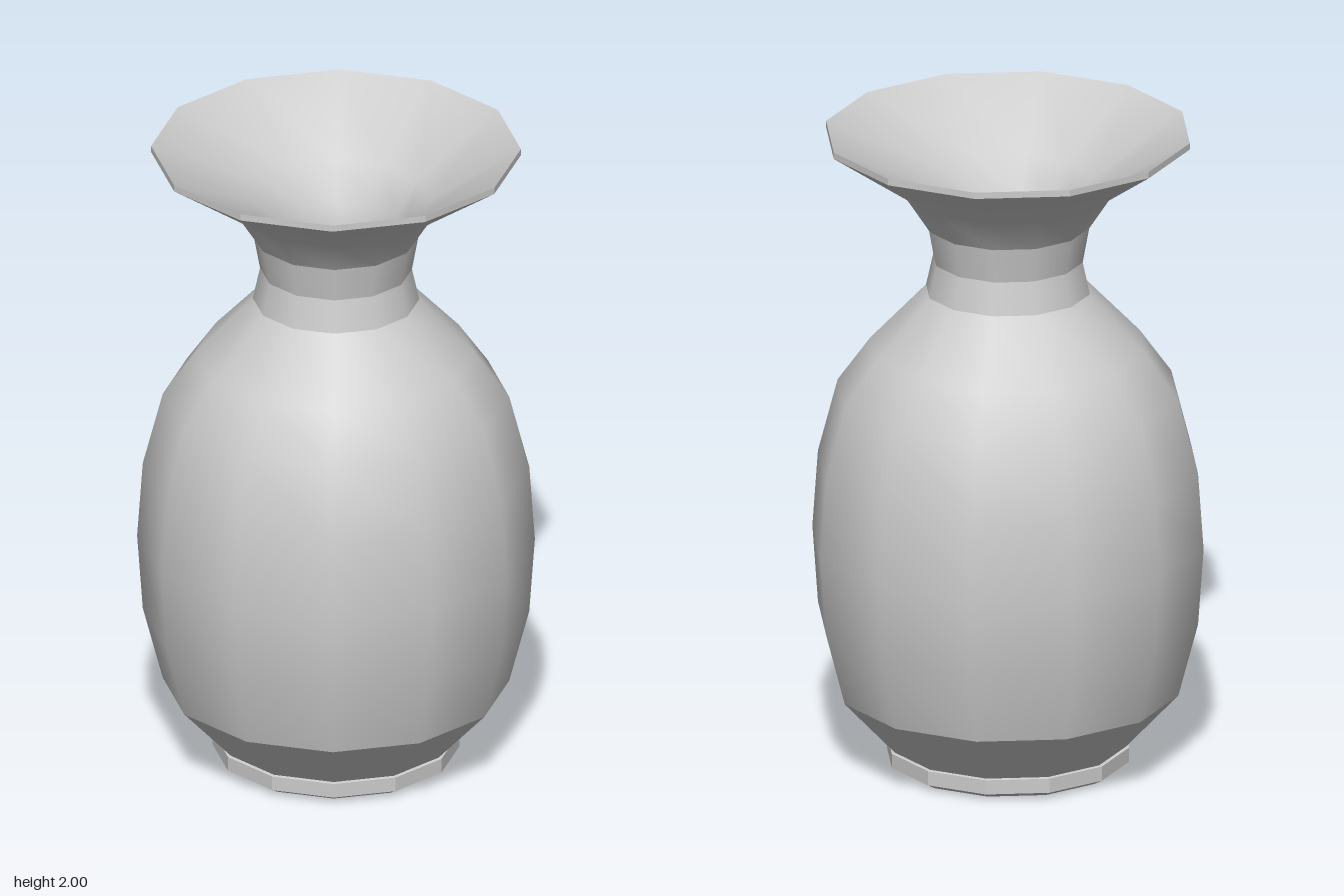
import * as THREE from 'three';

const SIDES = 12;

// Twelve-sided ring turned from [radius, height] points.
// Points running upward face outward; points running downward face inward.
function turned(name, points, flat = false) {
  const profile = points.map(([r, y]) => new THREE.Vector2(r, y));
  const material = new THREE.MeshStandardMaterial({ color: 0xcccccc, flatShading: flat });
  const mesh = new THREE.Mesh(new THREE.LatheGeometry(profile, SIDES), material);
  mesh.name = name;
  return mesh;
}

export function createModel() {
  const vase = new THREE.Group();
  vase.name = 'vase';

  vase.add(
    // Foot with a shallow recess underneath and a chamfered lower edge
    turned('foot', [[0, 0.02], [0.31, 0.02], [0.32, 0], [0.34, 0.003], [0.37, 0.02], [0.37, 0.065], [0.36, 0.067]], true),
    // Outer wall, split where the shading breaks
    turned('lowerBody', [[0.36, 0.067], [0.52, 0.24]]),
    turned('body', [[0.52, 0.24], [0.58, 0.47], [0.597, 0.71], [0.58, 0.95], [0.52, 1.18], [0.42, 1.32], [0.25, 1.5]]),
    turned('lowerNeck', [[0.25, 1.5], [0.228, 1.6]]),
    turned('upperNeck', [[0.228, 1.6], [0.248, 1.71]]),
    turned('flare', [[0.248, 1.71], [0.32, 1.82], [0.555, 1.98]]),
    turned('rim', [[0.555, 1.98], [0.555, 2]], true),
    // Hollow inside: funnel, belly and flat floor
    turned('innerFunnel', [[0.555, 2], [0.28, 1.83], [0.2, 1.72], [0.178, 1.6], [0.2, 1.48]]),
    turned('innerBody', [[0.2, 1.48], [0.38, 1.29], [0.47, 1.16], [0.53, 0.94], [0.547, 0.71], [0.53, 0.48], [0.47, 0.26], [0.33, 0.11]]),
    turned('innerFloor', [[0.33, 0.11], [0, 0.11]], true),
  );
  return vase;
}
